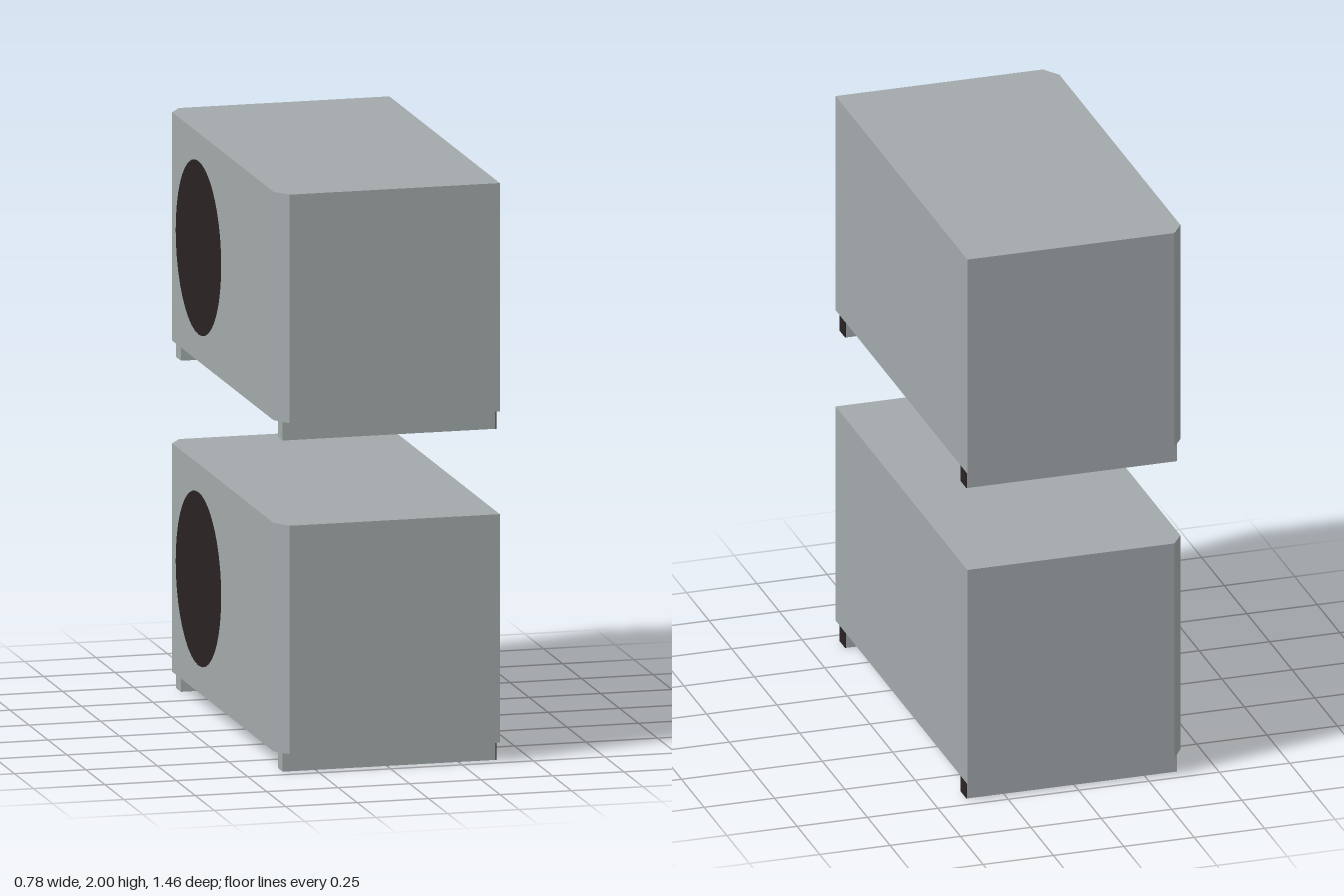
import * as THREE from 'three';

const grey = new THREE.MeshStandardMaterial({ color: 0xa3a9ab });
grey.name = 'casing grey';
const dark = new THREE.MeshStandardMaterial({ color: 0x2b2223 });
dark.name = 'opening dark';

function addMesh(parent, name, geometry, material, x, y, z) {
  const mesh = new THREE.Mesh(geometry, material);
  mesh.name = name;
  mesh.position.set(x, y, z);
  parent.add(mesh);
  return mesh;
}

// Casing footprint: a rectangle with the two corners on the fan side cut off
function casingGeometry(height) {
  const outline = new THREE.Shape([
    [0.388, -0.728], [0.388, 0.728], [-0.348, 0.728],
    [-0.388, 0.668], [-0.388, -0.668], [-0.348, -0.728],
  ].map(([x, y]) => new THREE.Vector2(x, y)));
  return new THREE.ExtrudeGeometry(outline, { depth: height, bevelEnabled: false })
    .rotateX(-Math.PI / 2);
}

function createUnit() {
  const unit = new THREE.Group();
  const footHeight = 0.065, casingHeight = 0.79;

  addMesh(unit, 'casing', casingGeometry(casingHeight), grey, 0, footHeight, 0);

  // Fan opening, off-centre on the chamfered side
  const fan = addMesh(unit, 'fanOpening', new THREE.CircleGeometry(0.3, 40), dark,
    -0.391, footHeight + casingHeight / 2, -0.31);
  fan.rotation.y = -Math.PI / 2;

  // Mounting rails with a dark end towards the wall
  for (const side of [-1, 1]) {
    const rail = new THREE.Group();
    rail.name = 'mountingRail';
    rail.position.set(0, footHeight / 2, side * 0.67);
    addMesh(rail, 'railBar', new THREE.BoxGeometry(0.745, footHeight, 0.062), grey, 0.0075, 0, 0);
    addMesh(rail, 'railEnd', new THREE.BoxGeometry(0.003, footHeight, 0.062), dark, 0.3815, 0, 0);
    unit.add(rail);
  }
  return unit;
}

export function createModel() {
  const model = new THREE.Group();
  model.name = 'stackedOutdoorUnits';
  ['lowerUnit', 'upperUnit'].forEach((name, i) => {
    const unit = createUnit();
    unit.name = name;
    unit.position.y = i * 1.145;
    model.add(unit);
  });
  return model;
}
